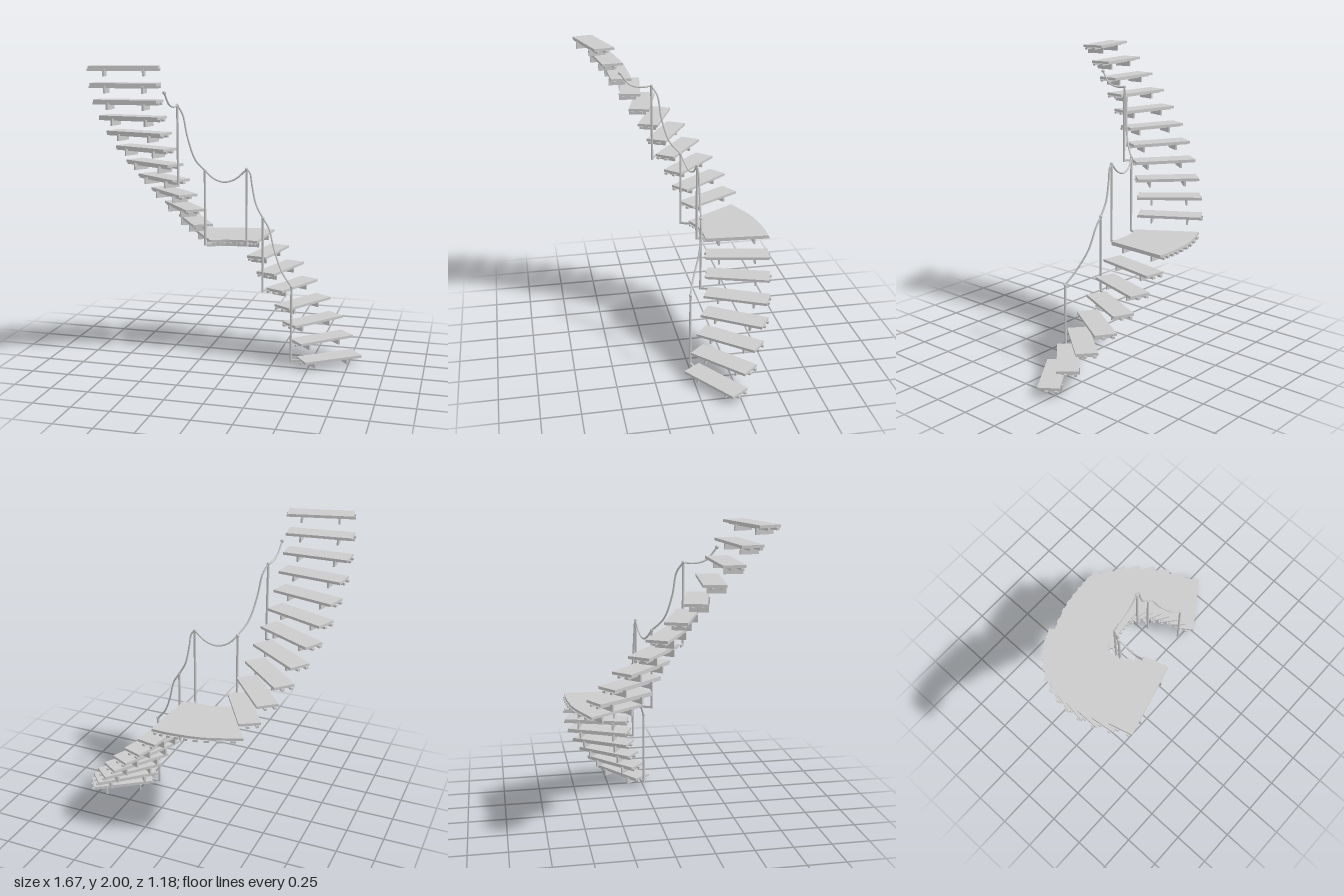
import * as THREE from 'three';

const RISE = 0.1076, LEVEL = 0.063;      // step height, tread unit height
const WIDTH = 0.417, DEPTH = 0.138;      // tread size
const SLAB = 0.017, BATTEN = 0.014, JOIST = 0.012;
const STEP = 7.34;                       // turn per tread in degrees

export function createModel() {
  const root = new THREE.Group();
  root.name = 'curvedStaircase';
  const mat = new THREE.MeshStandardMaterial({ color: 0xcccccc });

  function add(parent, name, geo, x = 0, y = 0, z = 0) {
    const m = new THREE.Mesh(geo, mat);
    m.name = name;
    m.position.set(x, y, z);
    parent.add(m);
    return m;
  }

  // one plank tread on two cross battens and two joists; local +x is outward, -z is up the flight
  function tread(i, cx, cz, r, deg) {
    const a = THREE.MathUtils.degToRad(deg);
    const g = new THREE.Group();
    g.name = 'step';
    g.position.set(cx - r * Math.sin(a), RISE * i, cz - r * Math.cos(a));
    g.rotation.y = Math.PI / 2 + a;
    add(g, 'tread', new THREE.BoxGeometry(WIDTH, SLAB, DEPTH), WIDTH / 2, LEVEL - SLAB / 2, -DEPTH / 2);
    for (const t of [0.055, 0.115])
      add(g, 'batten', new THREE.BoxGeometry(WIDTH + 0.02, BATTEN, 0.018), WIDTH / 2, LEVEL - SLAB - BATTEN / 2, -t);
    const h = LEVEL - SLAB;
    for (const f of [0.21, 0.78])
      add(g, 'joist', new THREE.BoxGeometry(JOIST, h, 0.115), WIDTH * f, h / 2, -0.087);
    root.add(g);
  }
  for (let i = 0; i < 7; i++) tread(i, 0.08, 0.35, 0.508, -54.8 + STEP * i);
  for (let i = 8; i < 19; i++) tread(i, 0.04, 0.24, 0.44, 104.8 - STEP * (18 - i));

  // landing, cut as strips between its inner and outer curves
  const spline = pts => new THREE.SplineCurve(pts.map(p => new THREE.Vector2(p[0], -p[1])));
  const inner = spline([[0.113, -0.16], [0.02, -0.16], [-0.1, -0.147], [-0.2, -0.105]]);
  const outer = spline([[0.14, -0.58], [0, -0.58], [-0.2, -0.552], [-0.43, -0.465]]);
  const landing = new THREE.Group();
  landing.name = 'landing';
  landing.position.y = RISE * 7;
  root.add(landing);
  function strip(name, f0, f1, t0, t1, y, h, n) {
    const at = (f, t) => inner.getPoint(t).lerp(outer.getPoint(t), f);
    const pts = [];
    for (let k = 0; k <= n; k++) pts.push(at(f0, t0 + (t1 - t0) * k / n));
    for (let k = n; k >= 0; k--) pts.push(at(f1, t0 + (t1 - t0) * k / n));
    const geo = new THREE.ExtrudeGeometry(new THREE.Shape(pts), { depth: h, bevelEnabled: false });
    add(landing, name, geo.rotateX(-Math.PI / 2), 0, y, 0);
  }
  strip('landingDeck', 0, 1, 0, 1, LEVEL - SLAB, SLAB, 16);
  for (const f of [0.2, 0.77]) strip('landingJoist', f, f + 0.03, 0.06, 0.98, 0, LEVEL - SLAB, 12);
  for (let k = 0; k < 9; k++) {
    const t = 0.07 + k * 0.1;
    strip('landingBatten', -0.025, 1.025, t, t + 0.045, LEVEL - SLAB - BATTEN, BATTEN, 1);
  }

  // posts: x, z, foot, head, then the point on the stair that the foot arm reaches
  const posts = [
    [0.385, -0.003, 0.04, 0.555, 0.45, -0.02],
    [0.163, -0.115, 0.475, 0.985, 0.19, -0.18],
    [0.052, -0.11, 0.79, 1.31, 0.055, -0.18],
    [-0.22, -0.053, 0.79, 1.3, -0.18, -0.14],
    [-0.35, 0.118, 1.225, 1.74, -0.4, 0.095],
  ];
  for (const [x, z, y0, y1, ax, az] of posts) {
    add(root, 'post', new THREE.CylinderGeometry(0.008, 0.008, y1 - y0, 12), x, (y0 + y1) / 2, z);
    add(root, 'postCap', new THREE.SphereGeometry(0.011, 12, 8), x, y1, z);
    const arm = add(root, 'footArm', new THREE.BoxGeometry(0.012, 0.014, Math.hypot(ax - x, az - z)),
      (x + ax) / 2, y0 + 0.007, (z + az) / 2);
    arm.rotation.y = Math.atan2(ax - x, az - z);
  }

  // sagging rope handrail, one span after another
  const spans = [
    [[0.385, 0.555, -0.003], [0.315, 0.64, -0.035], [0.25, 0.775, -0.085], [0.205, 0.92, -0.11], [0.163, 0.985, -0.115]],
    [[0.163, 0.985, -0.115], [0.115, 1.075, -0.118], [0.088, 1.2, -0.116], [0.074, 1.285, -0.113], [0.052, 1.31, -0.11]],
    [[0.052, 1.31, -0.11], [-0.02, 1.245, -0.1], [-0.095, 1.222, -0.088], [-0.165, 1.245, -0.075], [-0.22, 1.3, -0.053]],
    [[-0.22, 1.3, -0.053], [-0.265, 1.38, 0.015], [-0.302, 1.53, 0.06], [-0.327, 1.68, 0.082], [-0.35, 1.74, 0.118]],
    [[-0.35, 1.74, 0.118], [-0.353, 1.735, 0.19], [-0.358, 1.755, 0.26], [-0.367, 1.83, 0.322]],
  ];
  for (const s of spans) {
    const c = new THREE.CatmullRomCurve3(s.map(p => new THREE.Vector3(...p)));
    add(root, 'ropeRail', new THREE.TubeGeometry(c, 28, 0.006, 8));
  }
  add(root, 'ropeEnd', new THREE.SphereGeometry(0.012, 12, 8), -0.367, 1.83, 0.322);

  return root;
}
